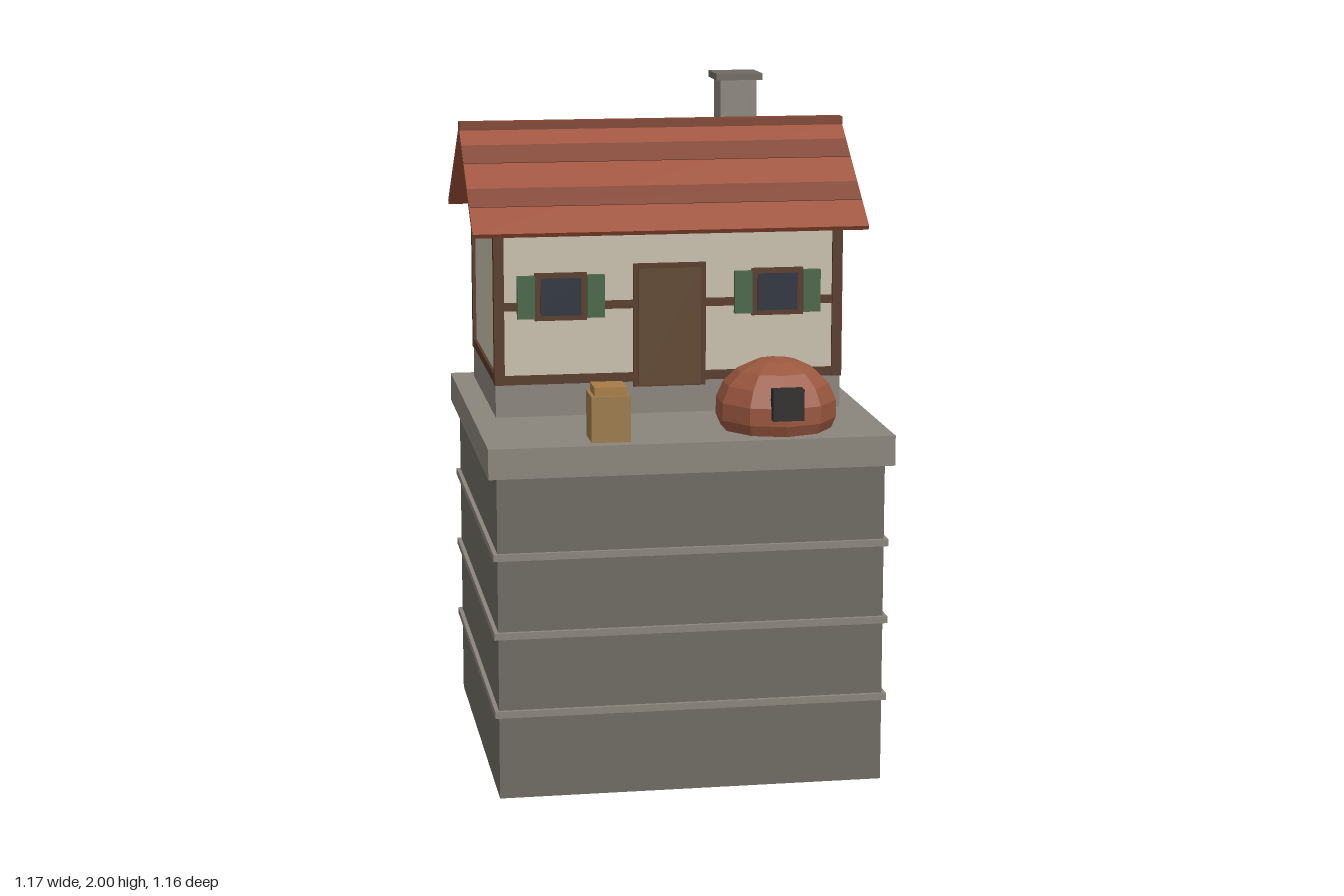
import * as THREE from 'three';

const mat = (color) => new THREE.MeshStandardMaterial({ color, flatShading: true });
const M = {
  stone: mat(0x6e6a62), trim: mat(0x8a857c), plaster: mat(0xc8bfac), wood: mat(0x573a28),
  door: mat(0x604630), glass: mat(0x2c323e), shutter: mat(0x486648), tile: mat(0x9c4f37),
  tileDark: mat(0x80422f), dome: mat(0x9a573f), iron: mat(0x2e2c2b), crate: mat(0x9c7a4a), lid: mat(0xa87c45),
};

// Box given by its minimum and maximum corners
function box(parent, name, material, [x0, y0, z0], [x1, y1, z1]) {
  const mesh = new THREE.Mesh(new THREE.BoxGeometry(x1 - x0, y1 - y0, z1 - z0), material);
  mesh.position.set((x0 + x1) / 2, (y0 + y1) / 2, (z0 + z1) / 2);
  mesh.name = name;
  parent.add(mesh);
  return mesh;
}

function group(parent, name) {
  const g = new THREE.Group();
  g.name = name;
  parent.add(g);
  return g;
}

const W = 0.51, D = 0.325; // half width and half depth of the walls

function buildTower(root) {
  const tower = group(root, 'tower');
  box(tower, 'towerBody', M.stone, [-0.56, 0, -0.555], [0.56, 0.945, 0.555]);
  for (const y of [0.253, 0.485, 0.715])
    box(tower, 'towerBand', M.trim, [-0.572, y - 0.01, -0.567], [0.572, y + 0.01, 0.567]);
  box(tower, 'towerCap', M.trim, [-0.585, 0.945, -0.578], [0.585, 1.033, 0.578]);
}

// Window with frame, glass and two shutters, on the wall facing +z
function buildWindow(parent, x) {
  const w = group(parent, 'window');
  w.position.set(x, 1.39, D);
  box(w, 'windowFrame', M.wood, [-0.077, -0.07, -0.01], [0.077, 0.07, 0.014]);
  box(w, 'windowGlass', M.glass, [-0.06, -0.055, 0], [0.06, 0.055, 0.018]);
  for (const s of [-1, 1]) {
    const c = s * 0.103;
    box(w, 'shutter', M.shutter, [c - 0.026, -0.063, -0.005], [c + 0.026, 0.063, 0.02]);
  }
}

// Long wall: middle rail and two windows
function buildLongWall(house, name) {
  const wall = group(house, name);
  box(wall, 'middleRail', M.wood, [-W, 1.35, D - 0.01], [W, 1.374, D + 0.008]);
  for (const s of [-1, 1]) buildWindow(wall, s * 0.323);
  return wall;
}

function buildHouse(root) {
  const house = group(root, 'house');
  house.position.z = -0.182;
  box(house, 'plinth', M.trim, [-0.517, 1.03, -0.327], [0.517, 1.13, 0.327]);
  box(house, 'walls', M.plaster, [-W, 1.13, -D], [W, 1.6, D]);

  // Timber frame
  for (const sx of [-1, 1]) for (const sz of [-1, 1]) {
    const x = sx * 0.505, z = sz * 0.32;
    box(house, 'cornerPost', M.wood, [x - 0.015, 1.13, z - 0.015], [x + 0.015, 1.6, z + 0.015]);
  }
  for (const y of [1.13, 1.575]) for (const s of [-1, 1]) {
    box(house, 'longBeam', M.wood, [-0.518, y, s * 0.32 - 0.013], [0.518, y + 0.027, s * 0.32 + 0.013]);
    box(house, 'endBeam', M.wood, [s * 0.505 - 0.013, y, -0.333], [s * 0.505 + 0.013, y + 0.027, 0.333]);
  }

  // Front and back walls
  const front = buildLongWall(house, 'frontWall');
  box(front, 'doorFrame', M.wood, [-0.108, 1.115, D - 0.01], [0.108, 1.482, D + 0.012]);
  box(front, 'door', M.door, [-0.093, 1.12, D], [0.093, 1.467, D + 0.018]);
  buildLongWall(house, 'backWall').rotation.y = Math.PI;

  // Gable prism under the roof
  const tri = new THREE.Shape([[-0.32, 1.6], [0.32, 1.6], [0, 1.838]].map((p) => new THREE.Vector2(...p)));
  const gable = new THREE.Mesh(
    new THREE.ExtrudeGeometry(tri, { depth: 2 * W, bevelEnabled: false }).translate(0, 0, -W).rotateY(Math.PI / 2), M.plaster);
  gable.name = 'gable';
  house.add(gable);

  buildRoof(house);

  // Chimney
  box(house, 'chimney', M.trim, [0.222, 1.65, -0.17], [0.334, 1.98, -0.058]);
  box(house, 'chimneyCap', M.stone, [0.208, 1.98, -0.188], [0.35, 2, -0.048]);
}

function buildRoof(house) {
  const run = 0.395, rise = 0.275, length = Math.hypot(run, rise), k = length / run;
  for (const side of [0, Math.PI]) {
    const half = group(house, side ? 'backRoof' : 'frontRoof');
    half.rotation.y = side;
    const slope = group(half, 'roofSlope');
    slope.position.y = 1.862;
    slope.rotation.x = Math.atan2(rise, run);
    box(slope, 'roofPanel', M.tile, [-0.585, -0.015, 0], [0.585, 0, length]);
    for (const d of [0.077, 0.235])
      box(slope, 'darkTileRow', M.tileDark, [-0.584, -0.012, d * k], [0.584, 0.002, (d + 0.066) * k]);
  }
  box(house, 'ridge', M.tileDark, [-0.585, 1.848, -0.023], [0.585, 1.872, 0.023]);
}

function buildTerrace(root) {
  // Low faceted dome with a dark hatch
  const oven = group(root, 'domeOven');
  oven.position.set(0.273, 1.09, 0.387);
  const dome = new THREE.Mesh(new THREE.SphereGeometry(0.178, 10, 6, 0, Math.PI * 2, 0, Math.PI * 2 / 3), M.dome);
  dome.rotation.y = Math.PI / 2;
  dome.scale.y = 0.82;
  dome.name = 'dome';
  oven.add(dome);
  box(oven, 'hatch', M.iron, [-0.045, -0.005, 0.15], [0.045, 0.085, 0.19]);

  // Crate with a lid
  const crate = group(root, 'crate');
  crate.position.set(-0.231, 1.03, 0.484);
  box(crate, 'crateBody', M.crate, [-0.056, 0, -0.056], [0.056, 0.135, 0.056]);
  box(crate, 'crateLid', M.lid, [-0.046, 0.135, -0.046], [0.046, 0.16, 0.046]);
}

export function createModel() {
  const root = new THREE.Group();
  root.name = 'towerHouse';
  buildTower(root);
  buildHouse(root);
  buildTerrace(root);
  return root;
}
